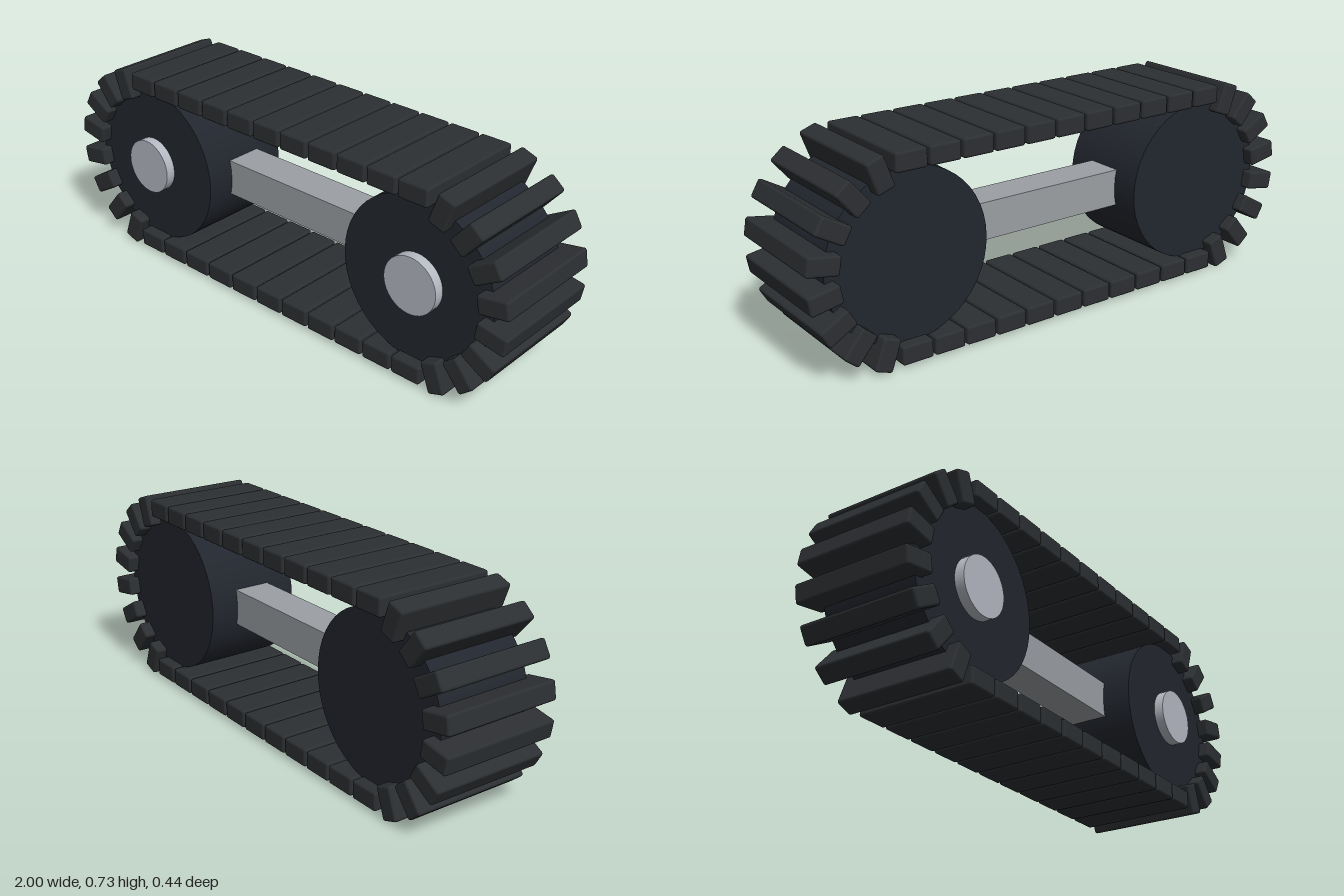
import * as THREE from 'three';
import { RoundedBoxGeometry } from 'three/addons/geometries/RoundedBoxGeometry.js';

const AXLE_X = 0.623, AXLE_Y = 0.368;   // wheel centres
const TRACK_R = 0.33, ARC_R = 0.321;    // pad distance on the runs and round the ends
const RUN_PADS = 11, ARC_STEPS = 9;

const padMat = new THREE.MeshStandardMaterial({ color: 0x2c2f32 });
const wheelMat = new THREE.MeshStandardMaterial({ color: 0x22262e });
const hubMat = new THREE.MeshStandardMaterial({ color: 0xb5b9c2 });
const beamMat = new THREE.MeshStandardMaterial({ color: 0x9b9fa3 });

function addMesh(parent, name, geometry, material, x, y, z = 0) {
  const mesh = new THREE.Mesh(geometry, material);
  mesh.name = name;
  mesh.position.set(x, y, z);
  parent.add(mesh);
  return mesh;
}

export function createModel() {
  const model = new THREE.Group();
  model.name = 'trackUnit';

  // Beam joining the two wheels
  addMesh(model, 'beam', new THREE.BoxGeometry(AXLE_X * 2, 0.136, 0.14), beamMat, 0, AXLE_Y + 0.001);

  // Wheels, each with a hub cap on the front
  const wheelGeo = new THREE.CylinderGeometry(0.3, 0.3, 0.356, 48).rotateX(Math.PI / 2);
  const hubGeo = new THREE.CylinderGeometry(0.104, 0.104, 0.05, 40).rotateX(Math.PI / 2);
  for (const side of [-1, 1]) {
    const label = side < 0 ? 'right' : 'left';
    addMesh(model, label + 'Wheel', wheelGeo, wheelMat, side * AXLE_X, AXLE_Y);
    addMesh(model, label + 'Hub', hubGeo, hubMat, side * AXLE_X, AXLE_Y, 0.189);
  }

  // Track pads
  const track = new THREE.Group();
  track.name = 'track';
  model.add(track);
  const padGeo = new RoundedBoxGeometry(0.116, 0.067, 0.442, 2, 0.009);

  // Straight runs, top and bottom
  for (let i = 0; i < RUN_PADS; i++) {
    const x = AXLE_X * (2 * i / (RUN_PADS - 1) - 1);
    addMesh(track, 'topPad', padGeo, padMat, x, AXLE_Y + TRACK_R);
    addMesh(track, 'bottomPad', padGeo, padMat, x, AXLE_Y - TRACK_R + 0.008);
  }

  // Pads standing out radially round each end
  for (const side of [-1, 1]) {
    for (let i = 1; i < ARC_STEPS; i++) {
      const a = -Math.PI / 2 + i * Math.PI / ARC_STEPS;
      const pad = addMesh(track, 'endPad', padGeo, padMat,
        side * (AXLE_X + ARC_R * Math.cos(a)), AXLE_Y + ARC_R * Math.sin(a));
      pad.rotation.z = side * a;
    }
  }
  return model;
}
